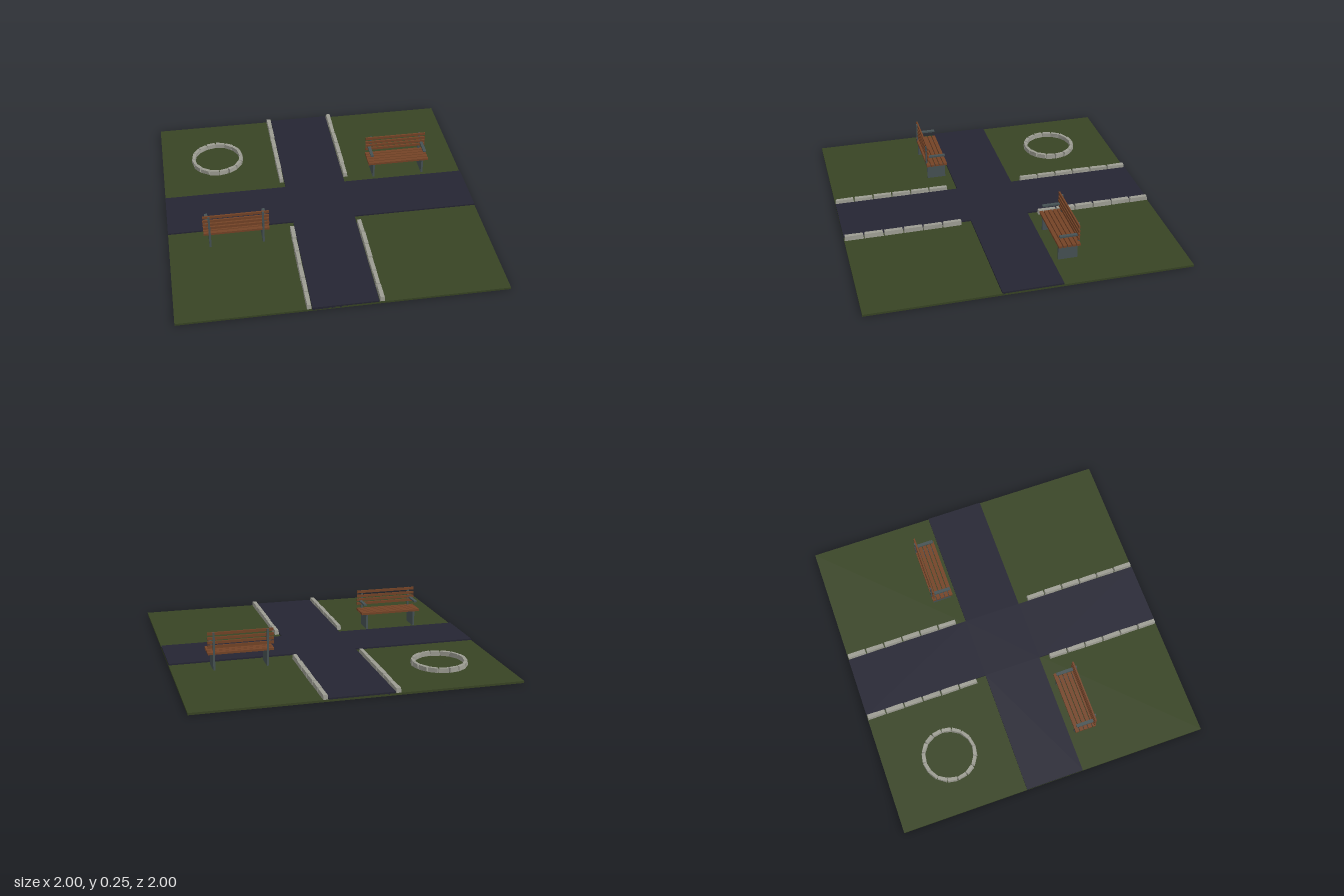
import * as THREE from 'three';

const mat = (name, color) => Object.assign(new THREE.MeshStandardMaterial({ color, flatShading: true }), { name });

export function createModel() {
  const grass = mat('grass', 0x384424);
  const asphalt = mat('asphalt', 0x252533);
  const wood = mat('wood', 0x744326);
  const metal = mat('metal', 0x465254);
  const stone = mat('stone', 0x9c9c92);

  const model = new THREE.Group();
  model.name = 'parkCrossing';

  let seed = 7;
  const rand = () => (seed = (seed * 16807) % 2147483647) / 2147483647 - 0.5;

  const box = (parent, name, material, size, pos) => {
    const mesh = new THREE.Mesh(new THREE.BoxGeometry(...size), material);
    mesh.name = name;
    mesh.position.set(...pos);
    parent.add(mesh);
    return mesh;
  };

  // Lawn slab and the slightly raised crossing paths
  box(model, 'lawn', grass, [2, 0.013, 2], [0, 0.0065, 0]);
  const road = new THREE.Shape();
  const a = 0.2, b = 0.187;
  [[-a, -1], [a, -1], [a, -b], [1, -b], [1, b], [a, b], [a, 1], [-a, 1], [-a, b], [-1, b], [-1, -b], [-a, -b]]
    .forEach(([x, y], i) => (i ? road.lineTo(x, y) : road.moveTo(x, y)));
  const pathGeometry = new THREE.ExtrudeGeometry(road, { depth: 0.017, bevelEnabled: false });
  pathGeometry.rotateX(-Math.PI / 2).translate(0, 0.006, 0);
  const paths = new THREE.Mesh(pathGeometry, asphalt);
  paths.name = 'crossingPaths';
  model.add(paths);

  // Roughly cut kerb stone: tapered top with small corner offsets
  const addStone = (parent, name, width, length, x, z, angle = 0) => {
    const mesh = box(parent, name, stone, [width, 0.031, length], [x, 0.0265, z]);
    const p = mesh.geometry.attributes.position;
    const offsets = {};
    for (let i = 0; i < p.count; i++) {
      const key = [p.getX(i), p.getY(i), p.getZ(i)].map(Math.sign).join();
      offsets[key] ??= [rand() * 0.004, rand() * 0.003, rand() * 0.004];
      const [dx, dy, dz] = offsets[key];
      const top = p.getY(i) > 0;
      p.setXYZ(i, p.getX(i) * (top ? 0.86 : 1) + dx, p.getY(i) + (top ? dy : 0),
        p.getZ(i) - (top ? Math.sign(p.getZ(i)) * 0.003 : 0) + dz * 0.5);
    }
    mesh.geometry.computeVertexNormals();
    mesh.rotation.y = angle;
  };

  // Four rows of kerb stones beside the long path
  for (const sx of [-1, 1]) {
    for (const sz of [-1, 1]) {
      const row = new THREE.Group();
      row.name = 'kerbRow';
      for (let i = 0; i < 6; i++) addStone(row, 'kerbStone', 0.029, 0.12, sx * 0.218, sz * (0.3125 + i * 0.125));
      model.add(row);
    }
  }

  // Stone ring on the back lawn
  const ring = new THREE.Group();
  ring.name = 'stoneRing';
  ring.position.set(-0.625, 0, -0.578);
  const count = 16, radius = 0.162;
  for (let i = 0; i < count; i++) {
    const t = ((i + 0.5) / count) * Math.PI * 2;
    addStone(ring, 'ringStone', 0.024, 0.063, Math.cos(t) * radius, Math.sin(t) * radius, -t);
  }
  model.add(ring);

  // Bench facing +z, back at -z
  const addBench = (x, z, turn) => {
    const bench = new THREE.Group();
    bench.name = 'bench';
    for (let i = 0; i < 5; i++) {
      box(bench, 'seatSlat', wood, [0.41, 0.014, 0.023], [0, 0.122, -0.055 + i * 0.0285]);
    }
    for (const y of [0.164, 0.19, 0.216, 0.246]) {
      box(bench, 'backSlat', wood, [0.41, 0.017, 0.01], [0, y, -0.055]);
    }
    for (const s of [-1, 1]) {
      box(bench, 'sideLeg', metal, [0.013, 0.105, 0.122], [s * 0.167, 0.0635, 0.002]);
      box(bench, 'backPost', metal, [0.013, 0.142, 0.009], [s * 0.167, 0.183, -0.063]);
      box(bench, 'armrest', metal, [0.02, 0.01, 0.118], [s * 0.18, 0.181, 0.002]);
    }
    bench.position.set(x, 0, z);
    bench.rotation.y = turn;
    model.add(bench);
  };
  addBench(0.575, -0.288, 0);
  addBench(-0.575, 0.288, Math.PI);

  return model;
}
